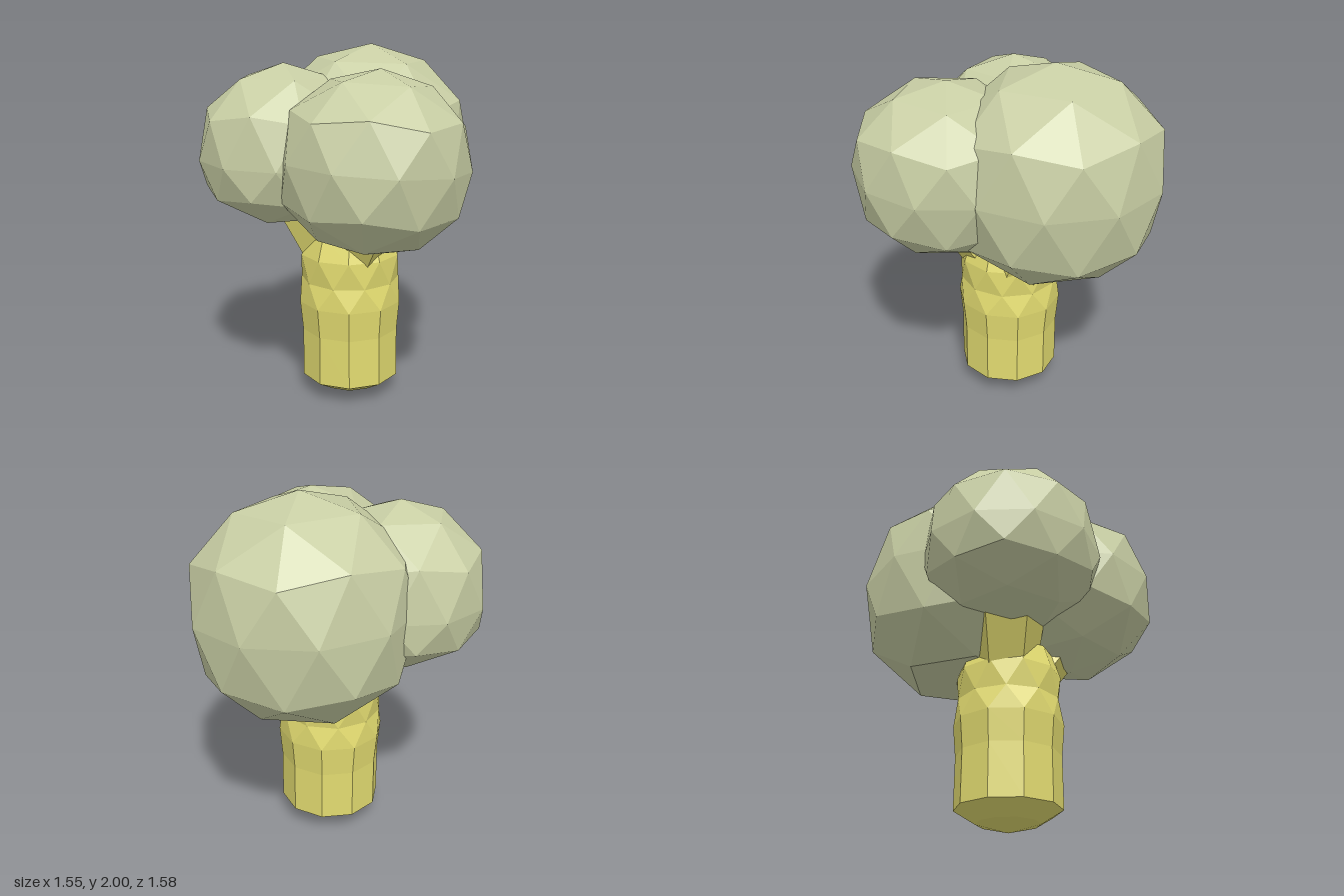
import * as THREE from 'three';

const floretMat = new THREE.MeshStandardMaterial({ color: 0xc8cea4, flatShading: true });
const stalkMat = new THREE.MeshStandardMaterial({ color: 0xe2db70, flatShading: true });

// Faceted ball with a pole on y, slightly full in the sides;
// upper and lower halves have their own heights
function floret(name, center, [rx, rz], up, down, floor, spin, tilt) {
  const geo = new THREE.IcosahedronGeometry(1, 1);
  geo.rotateZ(Math.atan(2 / (1 + Math.sqrt(5))));
  geo.rotateY(spin);
  const p = geo.attributes.position;
  for (let i = 0; i < p.count; i++) {
    const x = p.getX(i), y = p.getY(i), z = p.getZ(i);
    const full = Math.min(1.05, 1 / Math.max(Math.hypot(x, z), 0.01));
    p.setXYZ(i, x * rx * full, Math.max(floor, y * (y > 0 ? up : down)), z * rz * full);
  }
  geo.computeVertexNormals();
  const mesh = new THREE.Mesh(geo, floretMat);
  mesh.name = name;
  mesh.position.set(...center);
  mesh.rotation.set(...tilt);
  return mesh;
}

// Tapered prism from one point to another
function branch(name, from, to, r0, r1, sides) {
  const a = new THREE.Vector3(...from), b = new THREE.Vector3(...to);
  const dir = b.clone().sub(a);
  const mesh = new THREE.Mesh(new THREE.CylinderGeometry(r1, r0, dir.length(), sides), stalkMat);
  mesh.name = name;
  mesh.position.copy(a).add(b).multiplyScalar(0.5);
  mesh.quaternion.setFromUnitVectors(new THREE.Vector3(0, 1, 0), dir.normalize());
  return mesh;
}

// Ten-sided stalk; the upper rings turn half a side each to give triangular facets
function stalk() {
  const profile = [[0, 0], [0.17, 0.045], [0.285, 0.115], [0.283, 0.4], [0.298, 0.57],
    [0.28, 0.7], [0.285, 0.85], [0.24, 0.98], [0, 1.05]];
  const geo = new THREE.LatheGeometry(profile.map(([x, y]) => new THREE.Vector2(x, y)), 10, Math.PI / 2);
  const p = geo.attributes.position;
  for (let i = 0; i < p.count; i++) {
    const y = p.getY(i), x = p.getX(i), z = p.getZ(i);
    const turn = y > 0.8 ? Math.PI / 5 : y > 0.65 ? Math.PI / 10 : 0;
    const c = Math.cos(turn), s = Math.sin(turn);
    p.setXYZ(i, x * c + z * s, y, z * c - x * s);
  }
  geo.computeVertexNormals();
  const mesh = new THREE.Mesh(geo, stalkMat);
  mesh.name = 'stalk';
  mesh.position.set(-0.065, 0, 0.028);
  return mesh;
}

export function createModel() {
  const model = new THREE.Group();
  model.add(
    stalk(),
    // Branches reaching into the florets
    branch('backBranch', [-0.07, 0.76, -0.02], [-0.11, 1.15, -0.17], 0.21, 0.24, 8),
    branch('frontBranch', [-0.14, 0.84, 0.1], [-0.22, 1.25, 0.22], 0.17, 0.24, 6),
    branch('sideBranch', [0.05, 0.82, 0.05], [0.26, 1.12, 0.09], 0.12, 0.13, 5),
    // Florets
    floret('backFloret', [-0.215, 1.4, -0.205], [0.59, 0.595], 0.6, 0.64, -0.525, Math.PI / 5, [-0.02, 0, -0.03]),
    floret('sideFloret', [0.28, 1.415, 0.11], [0.505, 0.505], 0.485, 0.485, -1, 0.53, [-0.08, 0, 0]),
    floret('frontFloret', [-0.25, 1.4, 0.33], [0.485, 0.47], 0.51, 0.37, -1, 0.3, [0, 0, 0]),
  );
  return model;
}
